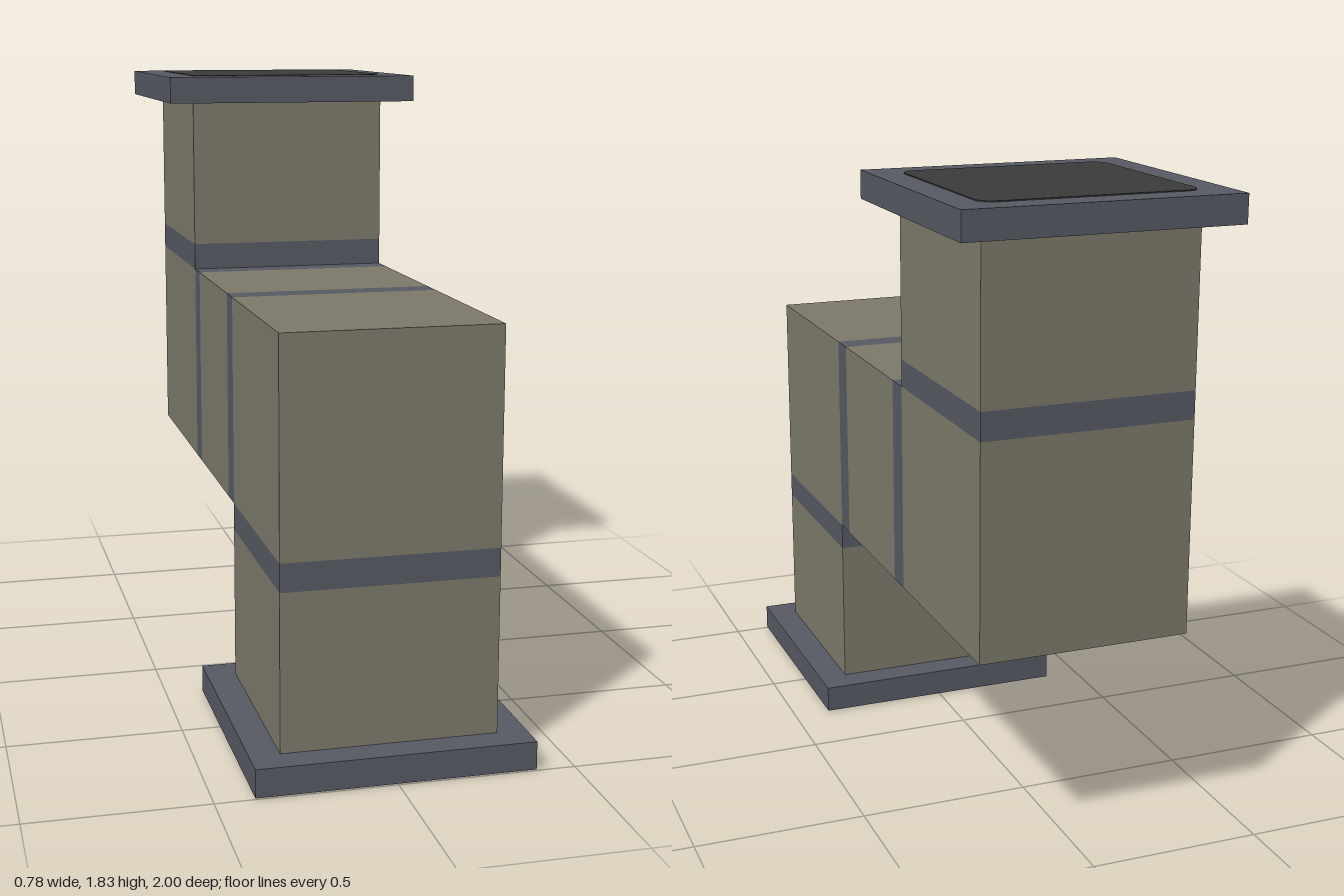
import * as THREE from 'three';

const H = 1.83;    // overall height
const W = 0.61;    // duct width
const BAND = 0.08; // joint band width
const LIP = 0.003; // thickness of the opening plate

const ductMat = new THREE.MeshStandardMaterial({ color: 0x7d7a6b });
ductMat.name = 'ductBeige';
const bandMat = new THREE.MeshStandardMaterial({ color: 0x575a63 });
bandMat.name = 'flangeGrey';
const openMat = new THREE.MeshStandardMaterial({ color: 0x3b3b3b });
openMat.name = 'openingDark';

// Box given by its width and its y and z ranges
function block(name, mat, w, y0, y1, z0, z1) {
  const m = new THREE.Mesh(new THREE.BoxGeometry(w, y1 - y0, z1 - z0), mat);
  m.name = name;
  m.position.set(0, (y0 + y1) / 2, (z0 + z1) / 2);
  return m;
}

// Rounded square plate lying flat
function openingPlate() {
  const h = W / 2, r = 0.045;
  const s = new THREE.Shape();
  s.moveTo(-h + r, -h);
  s.absarc(h - r, -h + r, r, -Math.PI / 2, 0);
  s.absarc(h - r, h - r, r, 0, Math.PI / 2);
  s.absarc(-h + r, h - r, r, Math.PI / 2, Math.PI);
  s.absarc(-h + r, -h + r, r, Math.PI, Math.PI * 1.5);
  const g = new THREE.ExtrudeGeometry(s, { depth: LIP, bevelEnabled: false, curveSegments: 6 });
  g.rotateX(-Math.PI / 2);
  const m = new THREE.Mesh(g, openMat);
  m.name = 'opening';
  return m;
}

// One end of the duct: flange, short riser, joint bands and elbow
function ductEnd(name) {
  const g = new THREE.Group();
  g.name = name;
  const z0 = W / 2, z1 = W * 1.5, y1 = W, y2 = W * 2;
  g.add(block('flange', bandMat, 0.78, LIP, 0.083, 0.22, 1));
  const plate = openingPlate();
  plate.position.set(0, 0, W);
  g.add(plate);
  g.add(block('riser', ductMat, W, 0.083, y1 - BAND, z0, z1));
  g.add(block('riserBand', bandMat, W, y1 - BAND, y1, z0, z1));
  g.add(block('elbow', ductMat, W, y1, y2, z0, z1));
  g.add(block('crossBand', bandMat, W, y1, y2, z0 - BAND, z0));
  return g;
}

export function createModel() {
  const model = new THREE.Group();
  model.name = 'offsetDuct';

  // Lower end, and the same end turned over for the top
  model.add(ductEnd('lowerEnd'));
  const upper = ductEnd('upperEnd');
  upper.rotation.x = Math.PI;
  upper.position.y = H;
  model.add(upper);

  // Horizontal run between the elbows
  const half = W / 2 - BAND;
  model.add(block('crossDuct', ductMat, W, W, W * 2, -half, half));
  return model;
}
